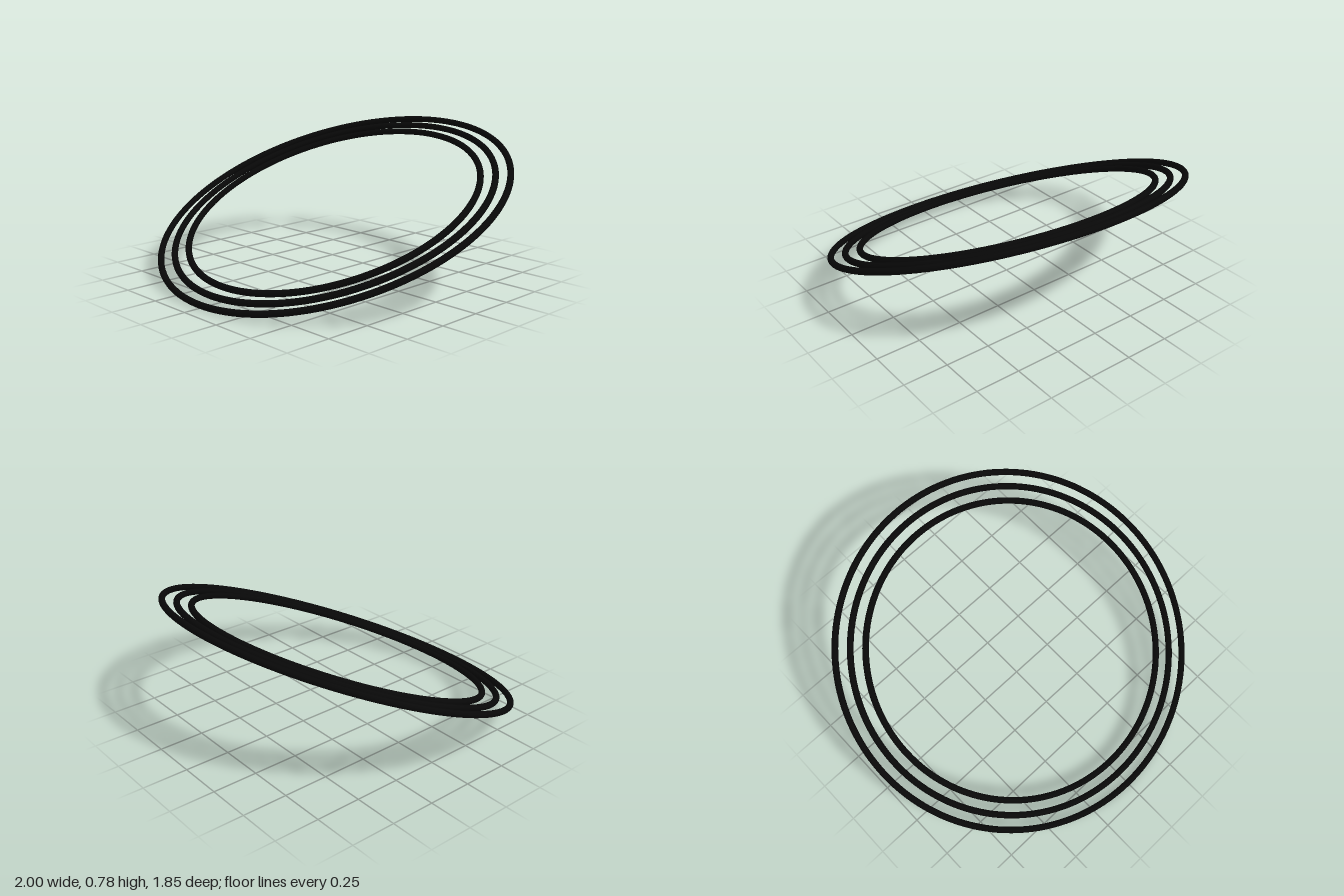
import * as THREE from 'three';

export function createModel() {
  const model = new THREE.Group();
  const material = new THREE.MeshStandardMaterial({ color: 0x080808 });
  const tube = 0.0175;
  const tilt = THREE.MathUtils.degToRad(22.3);

  // Concentric rings lying in one plane, raised at the back
  const rings = new THREE.Group();
  rings.name = 'tiltedRings';
  const radii = { innerRing: 0.823, middleRing: 0.903, outerRing: 1 - tube };
  for (const [name, radius] of Object.entries(radii)) {
    const geometry = new THREE.TorusGeometry(radius, tube, 16, 160);
    geometry.rotateX(Math.PI / 2);
    const ring = new THREE.Mesh(geometry, material);
    ring.name = name;
    rings.add(ring);
  }
  rings.rotation.x = tilt;
  rings.position.y = radii.outerRing * Math.sin(tilt) + tube;
  model.add(rings);
  return model;
}
